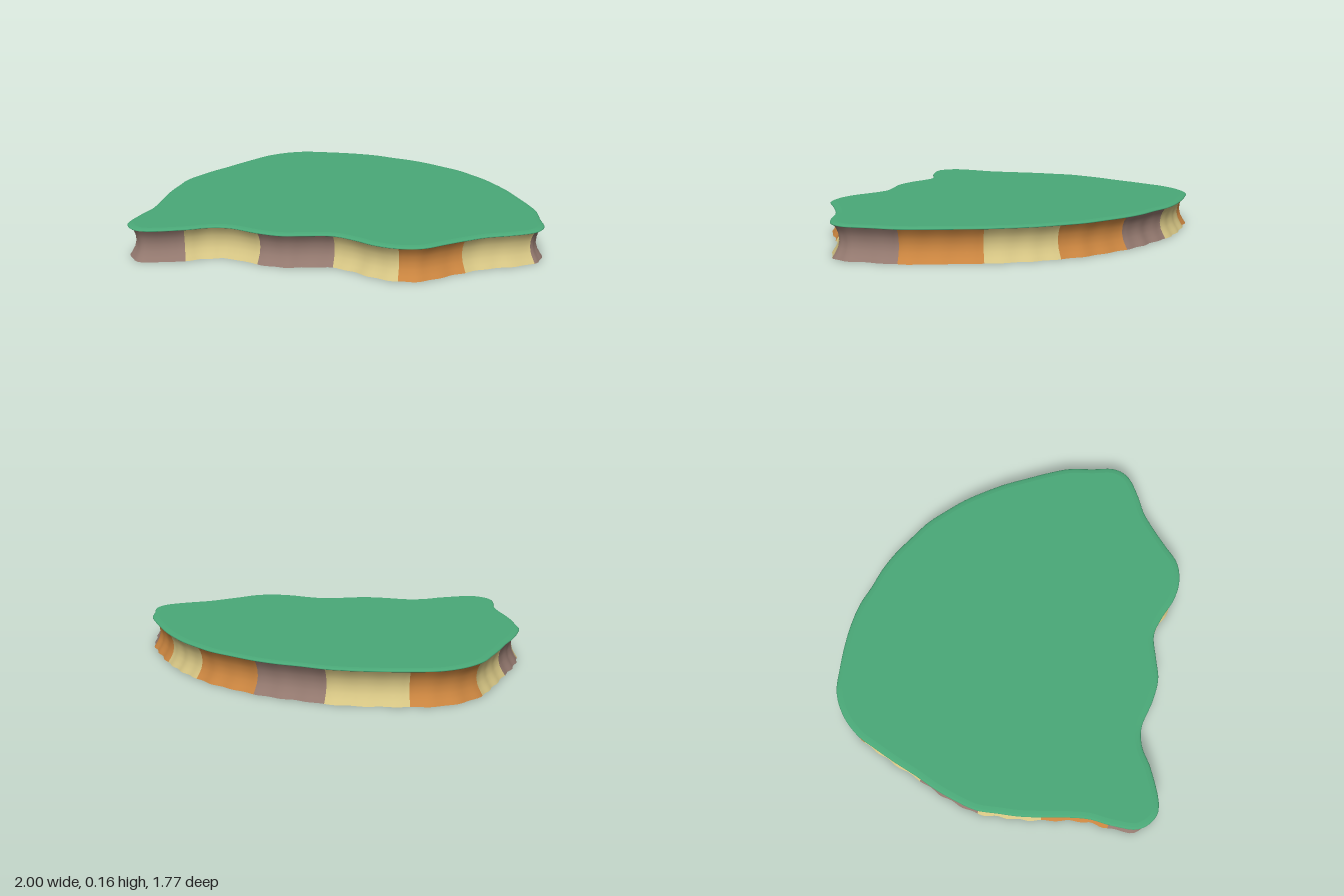
import * as THREE from 'three';

// Plan outline (x, z), three points per wall block, running front -> right side -> back -> left side
const OUTLINE = [
  -0.86, 0.68, -0.83, 0.82, -0.73, 0.88,
  -0.54, 0.79, -0.45, 0.72, -0.36, 0.69,
  -0.21, 0.705, -0.09, 0.70, 0.01, 0.66,
  0.13, 0.615, 0.24, 0.63, 0.35, 0.66,
  0.46, 0.66, 0.56, 0.62, 0.64, 0.53,
  0.71, 0.45, 0.79, 0.37, 0.88, 0.31,
  0.98, 0.22, 1.0, 0.14, 0.96, 0.02,
  0.92, -0.10, 0.86, -0.20, 0.79, -0.30,
  0.71, -0.41, 0.63, -0.50, 0.55, -0.58,
  0.46, -0.65, 0.36, -0.72, 0.25, -0.77,
  0.13, -0.82, 0.02, -0.85, -0.09, -0.865,
  -0.20, -0.885, -0.32, -0.885, -0.44, -0.87,
  -0.56, -0.845, -0.68, -0.81, -0.78, -0.73,
  -0.85, -0.62, -0.88, -0.52, -0.91, -0.41,
  -0.94, -0.28, -0.97, -0.17, -0.99, -0.06,
  -1.0, 0.05, -0.98, 0.16, -0.96, 0.26,
  -0.93, 0.36, -0.89, 0.48, -0.865, 0.58,
];
// Block colours in order: m = mauve, y = sand, o = orange
const BLOCKS = 'mymyoymoyomyoymyo';
const COLORS = { m: 0x957a70, y: 0xd8c785, o: 0xcc8640 };
const STEPS = 16; // curve samples per block

// Profiles as [y, inward offset], bottom to top
const WALL = [[0, 0.003], [0.02, 0.016], [0.045, 0.03], [0.075, 0.037], [0.105, 0.034], [0.13, 0.025], [0.152, 0.01]];
const RIM = [[0.15, 0.015], [0.151, 0.003], [0.154, 0], [0.157, 0.004], [0.16, 0.013], [0.162, 0.03]];

const points = [];
for (let i = 0; i < OUTLINE.length; i += 2) points.push(new THREE.Vector3(OUTLINE[i], 0, OUTLINE[i + 1]));
const curve = new THREE.CatmullRomCurve3(points, true, 'centripetal');

// Point on the outline moved inward and lifted to y
function outlinePoint(t, y, inset) {
  const u = ((t % 1) + 1) % 1;
  const p = curve.getPoint(u);
  const d = curve.getTangent(u);
  return new THREE.Vector3(p.x + d.z * inset, y, p.z - d.x * inset);
}

// Surface swept along the outline from t0 to t1
function sweep(profile, t0, t1, steps, ripple = 0) {
  const pos = [], index = [], n = profile.length;
  for (let j = 0; j <= steps; j++) {
    const t = t0 + ((t1 - t0) * j) / steps;
    for (const [y, inset] of profile) {
      const wave = ripple * (1 - y / 0.16) * Math.sin(t * Math.PI * 2 * 47);
      pos.push(...outlinePoint(t, y, inset + wave).toArray());
    }
  }
  for (let j = 0; j < steps; j++) {
    for (let k = 0; k < n - 1; k++) {
      const a = j * n + k, b = a + n;
      index.push(a, b, b + 1, a, b + 1, a + 1);
    }
  }
  const geo = new THREE.BufferGeometry();
  geo.setAttribute('position', new THREE.Float32BufferAttribute(pos, 3));
  geo.setIndex(index);
  geo.computeVertexNormals();
  return geo;
}

// Flat sheet filling the outline; side is 1 facing up, -1 facing down
function cap([y, inset], side, steps) {
  const flat = [];
  for (let j = 0; j < steps; j++) {
    const p = outlinePoint(j / steps, y, inset);
    flat.push(new THREE.Vector2(p.x, -side * p.z));
  }
  return new THREE.ShapeGeometry(new THREE.Shape(flat)).rotateX((-side * Math.PI) / 2).translate(0, y, 0);
}

export function createModel() {
  const model = new THREE.Group();
  model.name = 'plateau';
  const add = (parent, name, geo, mat) => {
    const mesh = new THREE.Mesh(geo, mat);
    mesh.name = name;
    parent.add(mesh);
  };

  // Thin grass sheet with a rounded rim
  const grass = new THREE.Group();
  grass.name = 'grassTop';
  model.add(grass);
  const green = new THREE.MeshStandardMaterial({ color: 0x4aa978 });
  const total = BLOCKS.length * STEPS;
  add(grass, 'grassRim', sweep(RIM, 0, 1, total), green);
  add(grass, 'grassSurface', cap(RIM[RIM.length - 1], 1, total), green);
  add(grass, 'grassUnderside', cap(RIM[0], -1, total), green);

  // Open skirt of hollowed cliff blocks with a slightly rippled foot
  const cliff = new THREE.Group();
  cliff.name = 'cliffWall';
  model.add(cliff);
  const mats = {};
  for (const key in COLORS) {
    mats[key] = new THREE.MeshStandardMaterial({ color: COLORS[key], side: THREE.DoubleSide });
  }
  [...BLOCKS].forEach((key, i) => {
    const geo = sweep(WALL, i / BLOCKS.length, (i + 1) / BLOCKS.length, STEPS, 0.004);
    add(cliff, 'cliffBlock' + (i + 1), geo, mats[key]);
  });
  return model;
}
